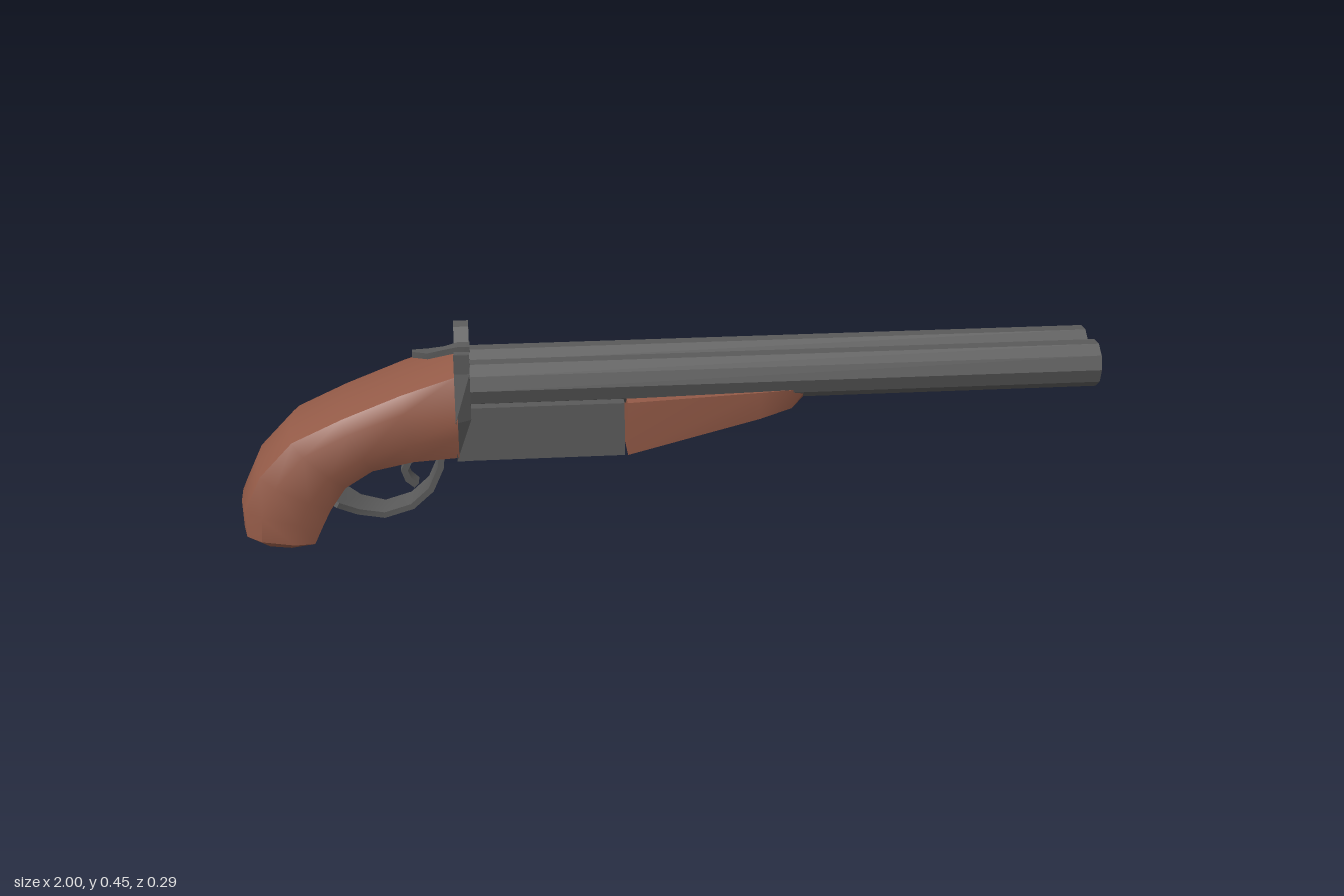
import * as THREE from 'three';
import { toCreasedNormals } from 'three/addons/utils/BufferGeometryUtils.js';

const metal = new THREE.MeshStandardMaterial({ color: 0x5a5a5a, side: THREE.DoubleSide });
const wood = new THREE.MeshStandardMaterial({ color: 0x935a47 });

// Closed skin through equal-length rings of [x, y, z], capped at both ends
function loft(rings, crease) {
  const n = rings[0].length;
  const tris = [];
  for (let i = 0; i < rings.length - 1; i++) {
    for (let j = 0; j < n; j++) {
      const k = (j + 1) % n;
      const a = rings[i][j], b = rings[i][k], c = rings[i + 1][k], d = rings[i + 1][j];
      tris.push([a, b, c], [a, c, d]);
    }
  }
  const first = rings[0], last = rings[rings.length - 1];
  for (let j = 1; j < n - 1; j++) {
    tris.push([first[0], first[j + 1], first[j]], [last[0], last[j], last[j + 1]]);
  }
  // Turn the faces outward whichever way the rings run
  const V = (p) => new THREE.Vector3(...p);
  const volume = tris.reduce((s, [a, b, c]) => s + V(a).dot(V(b).cross(V(c))), 0);
  if (volume < 0) tris.forEach((t) => t.reverse());
  const g = new THREE.BufferGeometry();
  g.setAttribute('position', new THREE.Float32BufferAttribute(tris.flat(2), 3));
  g.computeVertexNormals();
  return toCreasedNormals(g, crease);
}

// Flat strip following a path of [x, y, halfWidth]
function strip(path, thickness, crease = 0.6) {
  const rings = path.map(([x, y, w], i) => {
    const p = path[Math.max(i - 1, 0)], q = path[Math.min(i + 1, path.length - 1)];
    const len = Math.hypot(q[0] - p[0], q[1] - p[1]);
    const nx = (-(q[1] - p[1]) / len) * thickness / 2;
    const ny = ((q[0] - p[0]) / len) * thickness / 2;
    return [[x + nx, y + ny, w], [x + nx, y + ny, -w], [x - nx, y - ny, -w], [x - nx, y - ny, w]];
  });
  return loft(rings, crease);
}

// Mirrors a half outline of [z, v] into a full ring
function mirrored(half) {
  const other = half.filter(([z]) => z > 0).map(([z, v]) => [-z, v]).reverse();
  return [...half, ...other];
}

function gripGeometry() {
  // Each station: spine point, then belly point
  const stations = [
    [-0.495, 0.42, -0.495, 0.2], [-0.62, 0.378, -0.6, 0.195], [-0.76, 0.322, -0.69, 0.178],
    [-0.88, 0.268, -0.75, 0.14], [-0.96, 0.185, -0.785, 0.088], [-1, 0.1, -0.805, 0.048],
    [-0.998, 0.035, -0.825, 0.008], [-0.965, 0.016, -0.85, 0.002],
  ];
  return loft(stations.map(([tx, ty, bx, by], i) => {
    const s = i === stations.length - 1 ? 0.93 : 1;
    const side = i === 0 ? 0.47 : 0.72;
    const half = [[0, 1], [0.065, 0.985], [0.122, 0.92], [0.145, side], [0.145, 0.3], [0.126, 0.04], [0, 0]];
    return mirrored(half).map(([z, v]) => [bx + (tx - bx) * v, by + (ty - by) * v, z * s]);
  }), 0.7);
}

function breechGeometry() {
  const half = [[0, 0.426], [0.02, 0.426], [0.063, 0.42], [0.1, 0.448], [0.126, 0.455],
    [0.126, 0.41], [0.126, 0.3], [0.126, 0.2], [0, 0.2]];
  const shape = new THREE.Shape(mirrored(half).map(([z, y]) => new THREE.Vector2(z, y)));
  const g = new THREE.ExtrudeGeometry(shape, { depth: 0.035, bevelEnabled: false });
  g.rotateY(-Math.PI / 2).translate(-0.465, 0, 0);
  // Flare the rear edge out to meet the grip
  const p = g.attributes.position;
  for (let i = 0; i < p.count; i++) {
    if (p.getX(i) < -0.49 && Math.abs(p.getY(i) - 0.3) < 0.001) p.setZ(i, Math.sign(p.getZ(i)) * 0.146);
  }
  g.computeVertexNormals();
  return g;
}

function foreEndGeometry() {
  // x, bottom y, top y, half width at the bottom and top
  const stations = [
    [-0.11, 0.2, 0.327, 0.126, 0.126], [0.2, 0.267, 0.333, 0.1, 0.106],
    [0.275, 0.285, 0.335, 0.085, 0.1], [0.31, 0.312, 0.335, 0.063, 0.09],
  ];
  return loft(stations.map(([x, b, t, wb, wt]) => [[x, t, wt], [x, t, -wt], [x, b, -wb], [x, b, wb]]), 0.3);
}

// Open tube with a bore, ten-sided
function barrelGeometry() {
  const profile = [[0.047, -0.735], [0.055, -0.735], [0.055, 0.735], [0.047, 0.735], [0.047, -0.735]];
  const g = new THREE.LatheGeometry(profile.map(([r, y]) => new THREE.Vector2(r, y)), 10);
  g.rotateZ(-Math.PI / 2);
  return toCreasedNormals(g.toNonIndexed(), 0.4);
}

export function createModel() {
  const model = new THREE.Group();
  const add = (name, geometry, material, x = 0, y = 0, z = 0) => {
    const mesh = new THREE.Mesh(geometry, material);
    mesh.name = name;
    mesh.position.set(x, y, z);
    model.add(mesh);
  };

  // Wooden furniture
  add('grip', gripGeometry(), wood);
  add('foreEnd', foreEndGeometry(), wood);

  // Receiver and breech
  add('receiver', new THREE.BoxGeometry(0.36, 0.127, 0.25), metal, -0.297, 0.2635, 0);
  add('breechPlate', breechGeometry(), metal);

  // Side-by-side barrels
  const barrel = barrelGeometry();
  add('leftBarrel', barrel, metal, 0.265, 0.36, 0.053);
  add('rightBarrel', barrel, metal, 0.265, 0.36, -0.053);

  // Top lever
  add('topLever', strip([[-0.595, 0.42, 0.008], [-0.56, 0.418, 0.018], [-0.52, 0.424, 0.013],
    [-0.49, 0.431, 0.018], [-0.463, 0.431, 0.018]], 0.014), metal);

  // Trigger and its guard
  add('triggerGuard', strip([[-0.535, 0.205, 0.038], [-0.54, 0.15, 0.038], [-0.565, 0.095, 0.038],
    [-0.61, 0.055, 0.038], [-0.675, 0.036, 0.038], [-0.735, 0.05, 0.045],
    [-0.78, 0.076, 0.063], [-0.805, 0.09, 0.05]], 0.014), metal);
  add('trigger', strip([[-0.57, 0.205, 0.025], [-0.585, 0.18, 0.025], [-0.613, 0.165, 0.025],
    [-0.625, 0.14, 0.023], [-0.617, 0.117, 0.021], [-0.598, 0.1, 0.018]], 0.016), metal);

  return model;
}
